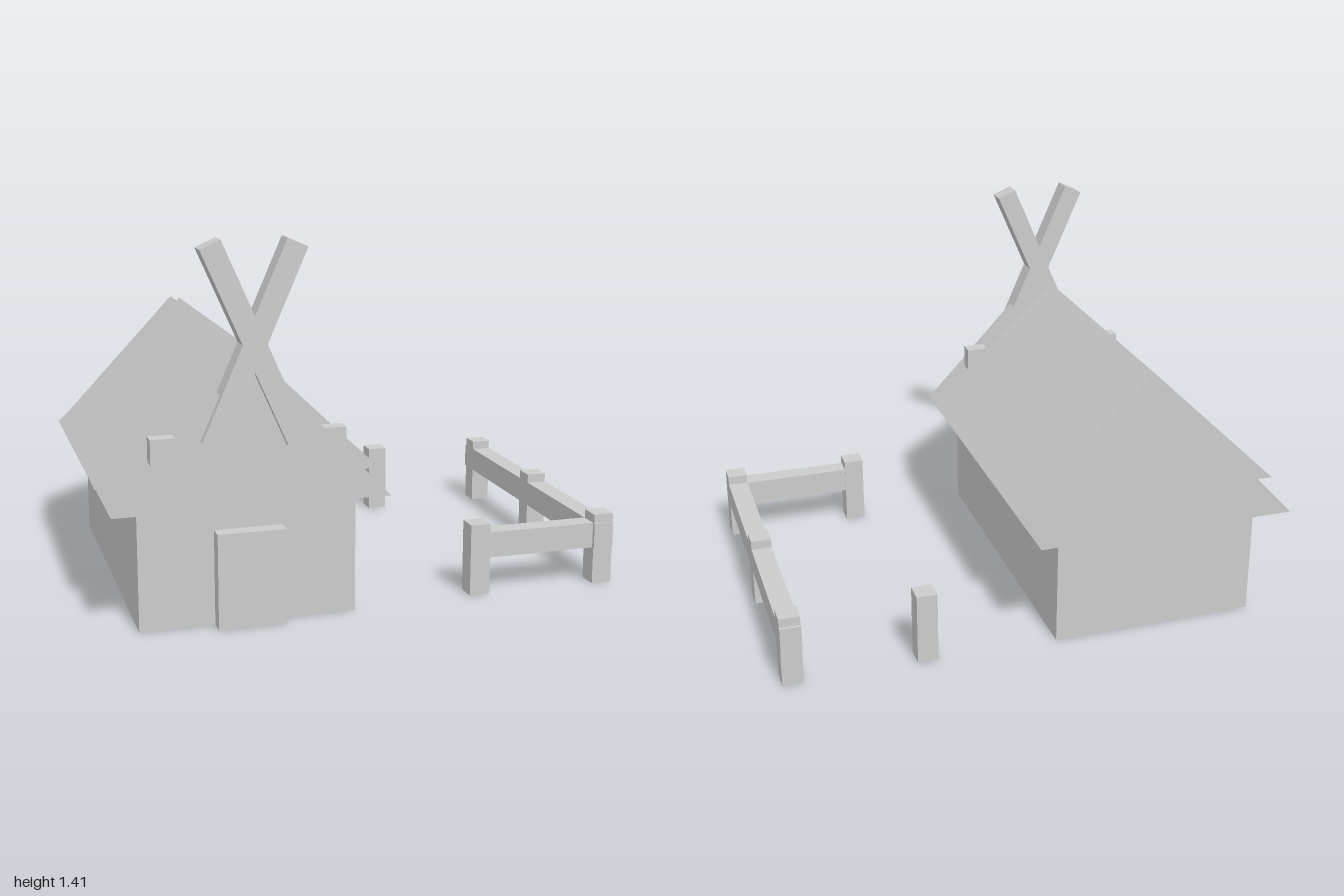
import * as THREE from 'three';

const material = new THREE.MeshStandardMaterial({ color: 0xcccccc, flatShading: true });

export function createModel() {
  const model = new THREE.Group();
  const add = (parent, name, geometry) => {
    const mesh = new THREE.Mesh(geometry, material);
    mesh.name = name;
    parent.add(mesh);
    return mesh;
  };
  // Box given by its limits on each axis
  const box = (parent, name, [x0, x1], [y0, y1], [z0, z1]) => {
    const mesh = add(parent, name, new THREE.BoxGeometry(x1 - x0, y1 - y0, z1 - z0));
    mesh.position.set((x0 + x1) / 2, (y0 + y1) / 2, (z0 + z1) / 2);
    return mesh;
  };
  // Triangular prism running along z
  const gable = (parent, name, halfWidth, base, ridge, z0, z1) => {
    const shape = new THREE.Shape([
      new THREE.Vector2(-halfWidth, base),
      new THREE.Vector2(halfWidth, base),
      new THREE.Vector2(0, ridge),
    ]);
    const geometry = new THREE.ExtrudeGeometry(shape, { depth: z1 - z0, bevelEnabled: false });
    add(parent, name, geometry).position.z = z0;
  };

  // House, centred on its own ridge line
  const house = new THREE.Group();
  house.name = 'house';
  house.position.x = -0.467;
  model.add(house);
  box(house, 'walls', [-0.405, 0.405], [0, 0.462], [-0.677, 0.65]);
  box(house, 'door', [-0.127, 0.127], [0, 0.358], [0.64, 0.71]);
  gable(house, 'roof', 0.508, 0.462, 1.0, -0.778, 0.75);
  gable(house, 'roofCover', 0.533, 0.511, 1.022, -0.574, 0.546);
  box(house, 'crossLog', [-0.357, 0.357], [0.62, 0.715], [0.63, 0.69]);

  // Crossed beams on the front gable
  for (const side of [-1, 1]) {
    const beam = add(house, 'crossedBeam', new THREE.BoxGeometry(0.08, 0.761, 0.08));
    beam.position.set(0, 1.046, 0.74);
    beam.rotation.z = side * 0.415;
  }

  // Fence: corner run along the front and the left side, plus a lone post
  const fence = new THREE.Group();
  fence.name = 'fence';
  model.add(fence);
  const posts = [[0.447, 0.593], [0.447, -0.628], [0.96, 0.6], [0.96, -0.015], [0.96, -0.625]];
  for (const [x, z] of posts) {
    box(fence, 'fencePost', [x - 0.04, x + 0.04], [0, 0.28], [z - 0.04, z + 0.04]);
  }
  box(fence, 'frontRail', [0.407, 0.94], [0.145, 0.245], [0.555, 0.631]);
  box(fence, 'sideRail', [0.92, 1], [0.145, 0.245], [-0.677, 0.645]);

  return model;
}
